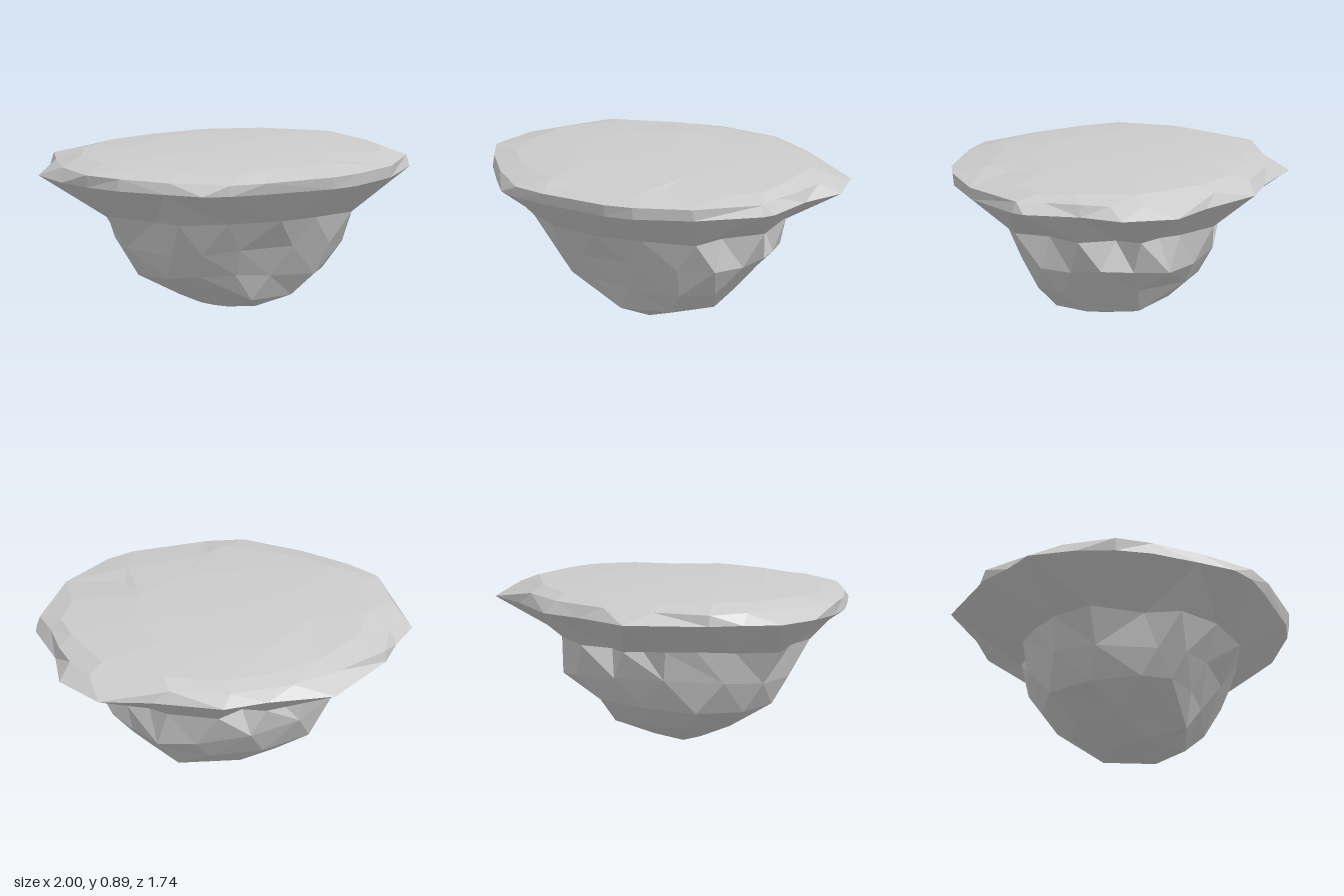
import * as THREE from 'three';

const TAU = Math.PI * 2;

// One cross-section: flat x,z pairs at height y, with a small height ripple, sorted by angle.
function ring(y, ripple, xz) {
  const pts = [];
  for (let i = 0; i < xz.length; i += 2) {
    const a = (Math.atan2(xz[i + 1], xz[i]) + TAU) % TAU;
    pts.push({ a, p: [xz[i], y + ripple * Math.sin(i * 2.6), xz[i + 1]] });
  }
  return pts.sort((m, n) => m.a - n.a);
}

// Joins two rings of any point count with triangles, walking round by angle.
function stitch(low, high, out) {
  const at = (r, i) => r[i % r.length].p;
  const angle = (r, i) => r[i % r.length].a + TAU * Math.floor(i / r.length);
  let i = 0, j = 0;
  while (i < low.length || j < high.length) {
    const stepLow = j >= high.length || (i < low.length && angle(low, i + 1) <= angle(high, j + 1));
    const next = stepLow ? at(low, i + 1) : at(high, j + 1);
    if ((stepLow ? low : high).length > 1) out.push(...at(low, i), ...at(high, j), ...next);
    if (stepLow) i++; else j++;
  }
}

function shell(name, rings) {
  const positions = [];
  for (let k = 0; k + 1 < rings.length; k++) stitch(rings[k], rings[k + 1], positions);
  const geometry = new THREE.BufferGeometry();
  geometry.setAttribute('position', new THREE.Float32BufferAttribute(positions, 3));
  geometry.computeVertexNormals();
  const mesh = new THREE.Mesh(geometry, new THREE.MeshStandardMaterial({
    color: 0xcccccc, flatShading: true, side: THREE.DoubleSide }));
  mesh.name = name;
  return mesh;
}

export function createModel() {
  // Rock underside, from the lowest tip upward
  const tip = ring(0, 0, [-0.05, -0.03]);
  const foot = ring(0.027, 0.003, [0.12, 0.05, 0.06, 0.22, -0.08, 0.16, -0.15, 0, -0.04, -0.13, 0.09, -0.1]);
  const base = ring(0.092, 0.01, [0.39, 0.08, 0.25, 0.28, -0.03, 0.36, -0.31, 0.06, -0.24, -0.22,
    -0.02, -0.28, 0.3, -0.19]);
  const belly = ring(0.22, 0.02, [0.5, 0, 0.48, 0.2, 0.35, 0.36, 0.05, 0.42, -0.16, 0.42, -0.35, 0.36,
    -0.47, 0.22, -0.51, -0.05, -0.4, -0.31, -0.1, -0.43, 0.2, -0.42, 0.43, -0.21]);
  const bulge = ring(0.375, 0.02, [0.63, -0.05, 0.61, 0.12, 0.55, 0.3, 0.4, 0.44, 0.14, 0.51, -0.18, 0.51,
    -0.38, 0.45, -0.5, 0.32, -0.61, 0, -0.55, -0.25, -0.3, -0.46, 0, -0.53, 0.3, -0.49, 0.49, -0.4, 0.57, -0.22]);
  // Neck where rock meets overhang: a few spurs stand out between shallow notches
  const neck = ring(0.55, 0.01, [0.71, 0.06, 0.56, 0.25, 0.53, 0.45, 0.25, 0.57, 0, 0.65, -0.3, 0.6,
    -0.53, 0.46, -0.57, 0.26, -0.73, 0, -0.62, -0.23, -0.47, -0.38, -0.33, -0.48, -0.18, -0.49, -0.08, -0.55,
    0.04, -0.5, 0.2, -0.58, 0.45, -0.45, 0.52, -0.35, 0.62, -0.27, 0.57, -0.12]);
  const overhang = ring(0.75, 0, [0.94, 0, 0.95, 0.31, 0.92, 0.38, 0.66, 0.66, 0.37, 0.82, 0.21, 0.855,
    -0.21, 0.84, -0.4, 0.82, -0.54, 0.76, -0.68, 0.6, -0.86, 0.38, -0.95, 0.2, -1, -0.01, -1, -0.28,
    -0.86, -0.43, -0.75, -0.59, -0.37, -0.87, 0, -0.82, 0.25, -0.82, 0.6, -0.63, 0.87, -0.53, 1, -0.25]);

  // Rim and gently domed top
  const rim = ring(0.815, 0.004, [0.92, 0, 0.9, 0.2, 0.91, 0.36, 0.66, 0.67, 0.37, 0.83, 0.21, 0.87,
    -0.2, 0.86, -0.4, 0.82, -0.66, 0.6, -0.85, 0.38, -0.96, 0.2, -0.95, -0.1, -0.84, -0.38, -0.75, -0.58,
    -0.45, -0.71, -0.16, -0.79, 0.2, -0.78, 0.5, -0.65, 0.86, -0.34, 0.91, -0.16]);
  const lip = ring(0.85, 0.004, [0.83, 0.05, 0.83, 0.24, 0.71, 0.41, 0.38, 0.51, 0.31, 0.66, -0.1, 0.65,
    -0.25, 0.72, -0.56, 0.52, -0.74, 0.33, -0.8, 0.1, -0.78, -0.2, -0.64, -0.44, -0.38, -0.61,
    -0.1, -0.68, 0.22, -0.68, 0.5, -0.55, 0.77, -0.29]);
  const crown = ring(0.874, 0.002, [0.48, 0.05, 0.36, 0.32, 0.08, 0.44, -0.28, 0.4, -0.48, 0.12,
    -0.42, -0.24, -0.14, -0.44, 0.2, -0.42, 0.43, -0.22]);
  const peak = ring(0.888, 0, [0, 0]);

  const island = new THREE.Group();
  island.name = 'floatingIsland';
  island.add(
    shell('rockUnderside', [tip, foot, base, belly, bulge, neck, overhang]),
    shell('groundTop', [overhang, rim, lip, crown, peak]),
  );
  return island;
}
